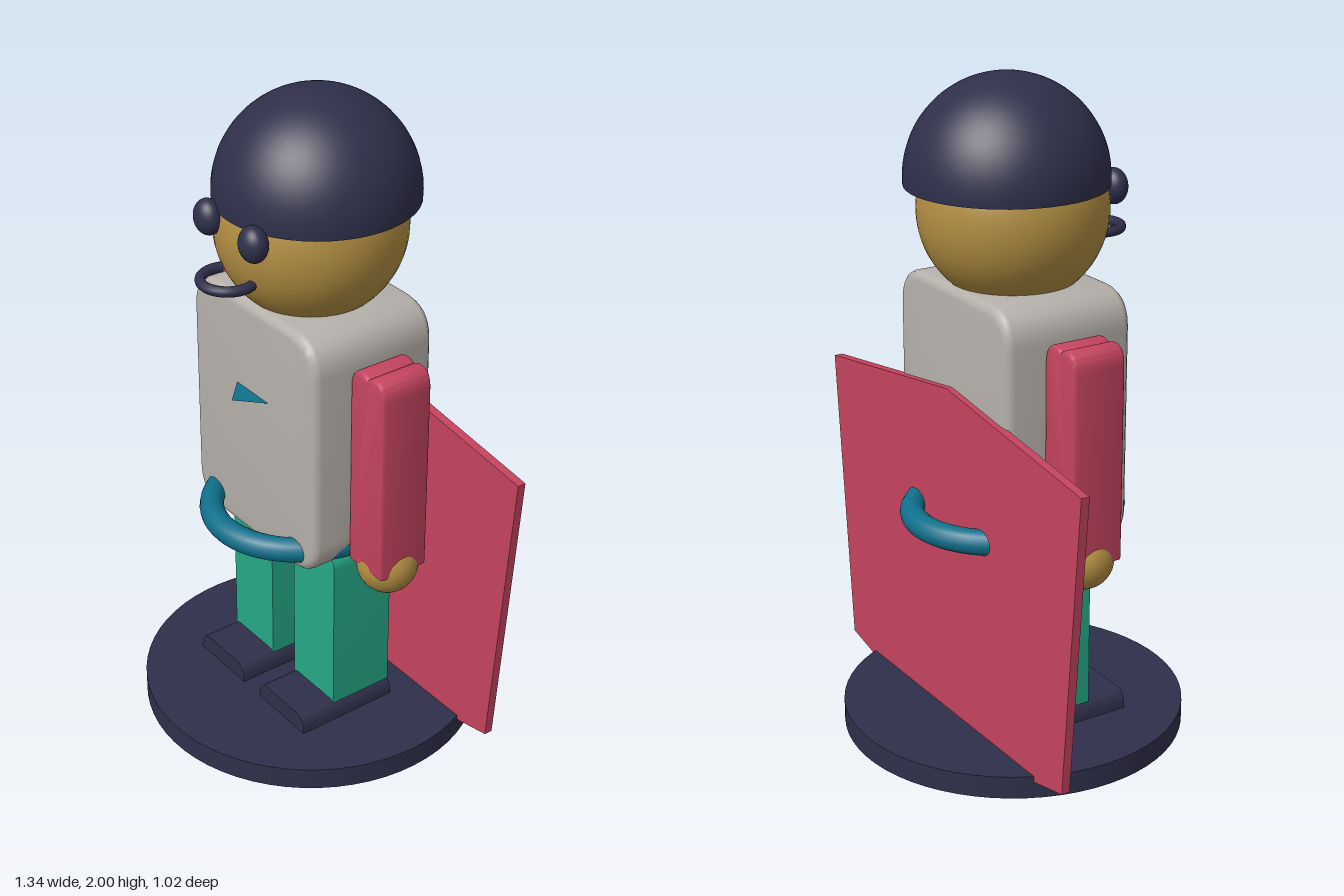
import * as THREE from 'three';
import { toCreasedNormals } from 'three/addons/utils/BufferGeometryUtils.js';

const mat = (name, color, side = THREE.FrontSide) => {
  const m = new THREE.MeshStandardMaterial({ color, side });
  m.name = name;
  return m;
};

// Rounded rectangle outline centred on the origin
function roundedRect(w, h, r) {
  const x = w / 2, y = h / 2, s = new THREE.Shape();
  s.moveTo(-x + r, -y);
  s.lineTo(x - r, -y).quadraticCurveTo(x, -y, x, -y + r);
  s.lineTo(x, y - r).quadraticCurveTo(x, y, x - r, y);
  s.lineTo(-x + r, y).quadraticCurveTo(-x, y, -x, y - r);
  s.lineTo(-x, -y + r).quadraticCurveTo(-x, -y, -x + r, -y);
  return s;
}

// Extrusion centred in z; the bevel grows the outline by its own size
function extrude(shape, depth, bevel = 0) {
  const g = new THREE.ExtrudeGeometry(shape, {
    depth: depth - 2 * bevel, curveSegments: 10, bevelEnabled: bevel > 0,
    bevelSize: bevel, bevelThickness: bevel, bevelSegments: 3,
  });
  g.translate(0, 0, -depth / 2 + bevel);
  return toCreasedNormals(g, 0.6);
}

export function createModel() {
  const model = new THREE.Group();
  model.name = 'figurine';
  const navy = mat('navy', 0x2f2f4b, THREE.DoubleSide);
  const red = mat('crimson', 0xc5445f);
  const grey = mat('pale grey', 0xb5b0aa);
  const gold = mat('golden skin', 0xb18d41);
  const green = mat('green', 0x25a886);
  const teal = mat('teal', 0x0f708b, THREE.DoubleSide);

  const add = (name, geometry, material, x = 0, y = 0, z = 0) => {
    const m = new THREE.Mesh(geometry, material);
    m.name = name;
    m.position.set(x, y, z);
    model.add(m);
    return m;
  };

  // Round stand
  add('base', new THREE.CylinderGeometry(0.508, 0.508, 0.068, 64), navy, 0, 0.082, 0);

  // Flat cape, its lower point passing through the stand
  const cape = new THREE.Shape([
    [0, 0], [0.595, 0.128], [0.672, 1.035], [0, 1.13], [-0.672, 1.035], [-0.595, 0.128],
  ].map(([x, y]) => new THREE.Vector2(x, y)));
  add('cape', extrude(cape, 0.026), red, 0, 0, -0.208);

  // Torso, belt and chest badge
  add('torso', extrude(roundedRect(0.53, 0.705, 0.085), 0.405, 0.025), grey, 0, 1.043, 0);
  const belt = add('belt', new THREE.TorusGeometry(0.302, 0.037, 16, 64), teal, 0, 0.728, 0);
  belt.rotation.x = Math.PI / 2;
  belt.scale.x = 0.885;
  const badge = new THREE.Shape([
    new THREE.Vector2(-0.08, 0), new THREE.Vector2(0.08, 0), new THREE.Vector2(0, 0.075),
  ]);
  add('chestBadge', new THREE.ShapeGeometry(badge), teal, 0, 1.15, 0.198).rotation.x = Math.PI / 2;

  // Head, helmet and mouth
  add('head', new THREE.SphereGeometry(0.27, 48, 32), gold, 0, 1.62, 0);
  add('helmet', new THREE.SphereGeometry(0.288, 48, 24, 0, Math.PI * 2, 0, Math.PI * 0.522),
    navy, 0, 1.712, -0.02);
  const smile = new THREE.TorusGeometry(0.075, 0.015, 12, 32, Math.PI * 1.25);
  smile.rotateZ(-Math.PI * 0.125);
  smile.rotateX(Math.PI / 2);
  add('mouth', smile, navy, 0, 1.527, 0.276);

  // Arm outline with a shallow groove across the shoulder
  const arm = new THREE.Shape();
  arm.moveTo(-0.062, 0.71);
  arm.lineTo(0.062, 0.71);
  arm.lineTo(0.062, 1.265);
  arm.quadraticCurveTo(0.062, 1.315, 0.03, 1.315);
  arm.quadraticCurveTo(0.012, 1.315, 0, 1.3);
  arm.quadraticCurveTo(-0.012, 1.315, -0.03, 1.315);
  arm.quadraticCurveTo(-0.062, 1.315, -0.062, 1.265);
  const armGeo = extrude(arm, 0.165, 0.01);
  const legGeo = extrude(roundedRect(0.195, 0.57, 0.05), 0.205);
  const shoe = new THREE.Shape();
  shoe.moveTo(-0.112, 0.112);
  shoe.lineTo(0.112, 0.112);
  shoe.quadraticCurveTo(0.112, 0.172, 0.075, 0.172);
  shoe.lineTo(-0.075, 0.172);
  shoe.quadraticCurveTo(-0.112, 0.172, -0.112, 0.112);
  const shoeGeo = extrude(shoe, 0.325);
  const ball = new THREE.SphereGeometry(1, 32, 20);

  // Mirrored parts
  for (const [side, s] of [['left', 1], ['right', -1]]) {
    add(side + 'Arm', armGeo, red, s * 0.361, 0, 0);
    add(side + 'Hand', ball, gold, s * 0.362, 0.696, 0).scale.setScalar(0.088);
    add(side + 'Leg', legGeo, green, s * 0.153, 0.405, 0.001);
    add(side + 'Shoe', shoeGeo, navy, s * 0.153, 0, 0.061);
    add(side + 'Eye', ball, navy, s * 0.105, 1.668, 0.265).scale.set(0.047, 0.052, 0.038);
  }
  return model;
}
